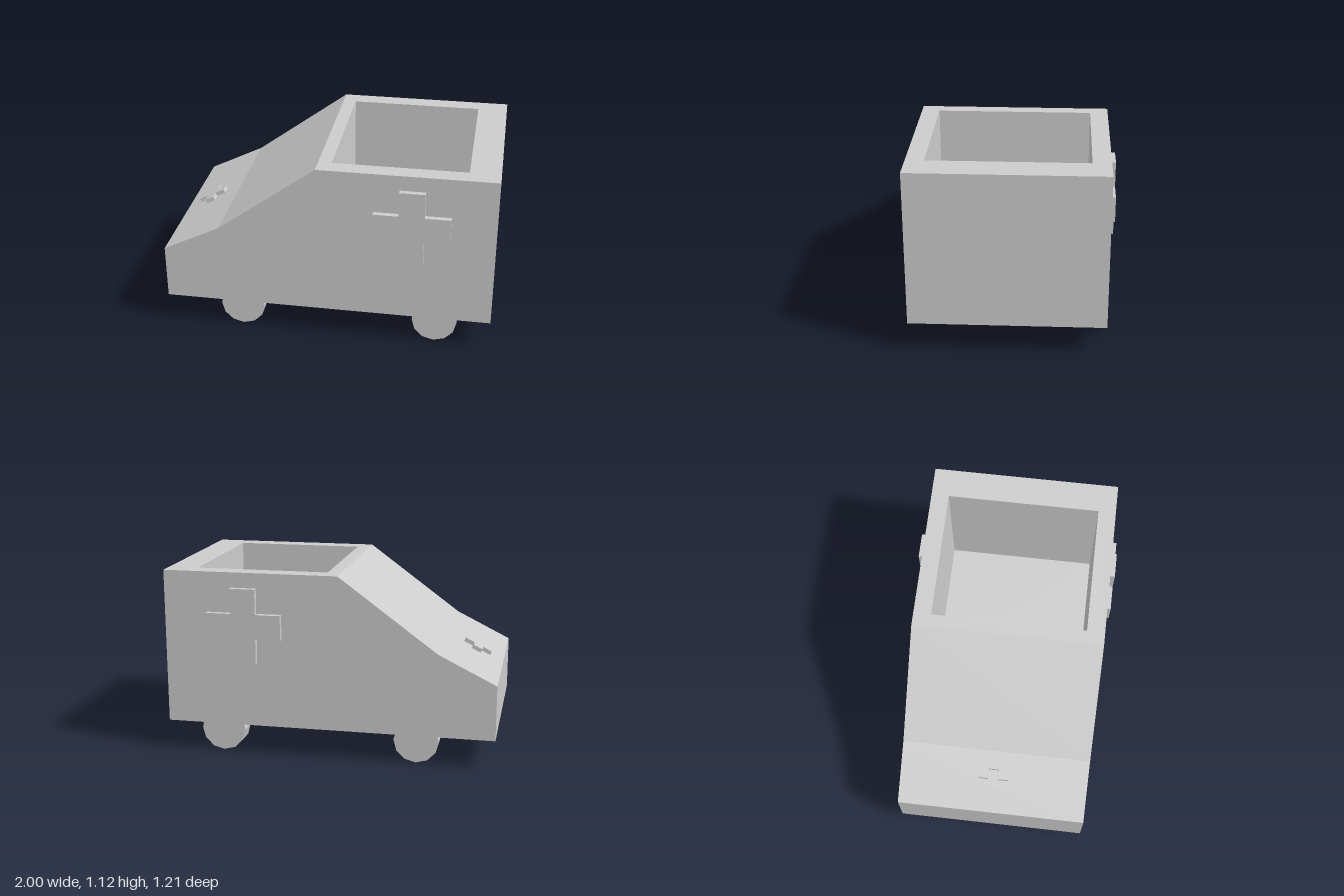
import * as THREE from 'three';
import { mergeGeometries } from 'three/addons/utils/BufferGeometryUtils.js';

const BOTTOM = 0.177, TOP = 1.118, HALF = 0.574;
const AXLES = [-0.53, 0.66], WHEEL_Z = 0.487;

// Rectangle as a list of corners, used as a path or hole
function rect(x0, x1, y0, y1) {
  return [[x0, y0], [x1, y0], [x1, y1], [x0, y1]].map(([x, y]) => new THREE.Vector2(x, y));
}

// Flat rectangular panel with rectangular holes, in the XY plane
function panel(x0, x1, holes) {
  const shape = new THREE.Shape(rect(x0, x1, -HALF, HALF));
  holes.forEach(h => shape.holes.push(new THREE.Path(rect(...h))));
  return new THREE.ShapeGeometry(shape);
}

// Inward-facing box lacking one face (2 = top, 3 = bottom)
function recess([x0, x1, z0, z1], y0, y1, openFace) {
  const g = new THREE.BoxGeometry(x1 - x0, y1 - y0, z1 - z0);
  const old = Array.from(g.index.array);
  old.splice(openFace * 6, 6);
  g.setIndex(old.reverse());
  const n = g.attributes.normal;
  for (let i = 0; i < n.count; i++) n.setXYZ(i, -n.getX(i), -n.getY(i), -n.getZ(i));
  g.clearGroups();
  return g.translate((x0 + x1) / 2, (y0 + y1) / 2, (z0 + z1) / 2);
}

// Full-width strip following one edge of the side profile
function strip([ax, ay], [bx, by]) {
  return new THREE.PlaneGeometry(Math.hypot(bx - ax, by - ay), HALF * 2)
    .rotateX(-Math.PI / 2)
    .rotateZ(Math.atan2(by - ay, bx - ax))
    .translate((ax + bx) / 2, (ay + by) / 2, 0);
}

// Raised plus sign, lying in the XY plane and rising along +z
function cross(size, depth) {
  const a = size / 2, b = size / 6;
  const pts = [[b, a], [b, b], [a, b], [a, -b], [b, -b], [b, -a],
    [-b, -a], [-b, -b], [-a, -b], [-a, b], [-b, b], [-b, a]];
  const shape = new THREE.Shape(pts.map(p => new THREE.Vector2(...p)));
  return new THREE.ExtrudeGeometry(shape, { depth, bevelEnabled: false });
}

export function createModel() {
  const model = new THREE.Group();
  const material = new THREE.MeshStandardMaterial({ color: 0xcccccc, flatShading: true });
  const add = (name, geometry) => {
    const mesh = new THREE.Mesh(geometry, material);
    mesh.name = name;
    model.add(mesh);
    return mesh;
  };

  // Body shell: side walls, strips over nose, hood and windshield, roof, underside
  const profile = [[-1, BOTTOM], [-1, 0.51], [-0.655, 0.681], [-0.06, TOP], [1, TOP], [1, BOTTOM]];
  const side = new THREE.Shape(profile.map(p => new THREE.Vector2(...p)));
  const cargo = [0.02, 0.818, -0.466, 0.466];
  const wells = AXLES.flatMap(x => [
    [x - 0.165, x + 0.165, 0.415, 0.56],
    [x - 0.165, x + 0.165, -0.56, -0.415],
  ]);
  const parts = [
    new THREE.ShapeGeometry(side).translate(0, 0, HALF),
    new THREE.ShapeGeometry(side).scale(-1, 1, 1).rotateY(Math.PI).translate(0, 0, -HALF),
    panel(-0.06, 1, [cargo]).rotateX(-Math.PI / 2).translate(0, TOP, 0),
    panel(-1, 1, wells).rotateX(Math.PI / 2).translate(0, BOTTOM, 0),
    recess(cargo, 0.35, TOP, 2),
    ...wells.map(w => recess(w, BOTTOM, 0.31, 3)),
    ...[0, 1, 2, 4].map(i => strip(profile[i], profile[i + 1])),
  ];
  // The mirrored wall needs its winding turned back outward
  const far = parts[1];
  far.setIndex(Array.from(far.index.array).reverse());
  far.computeVertexNormals();
  add('body', mergeGeometries(parts));

  // Wheels
  for (const x of AXLES) {
    for (const s of [1, -1]) {
      const g = new THREE.CylinderGeometry(0.136, 0.136, 0.116, 12).rotateX(Math.PI / 2);
      add((x < 0 ? 'front' : 'rear') + 'Wheel', g).position.set(x, 0.136, s * WHEEL_Z);
    }
  }

  // Crosses on both sides
  for (const s of [1, -1]) {
    const badge = add('sideCross', cross(0.456, 0.034));
    badge.position.set(0.507, 0.798, s * 0.573);
    if (s < 0) badge.rotation.y = Math.PI;
  }

  // Small cross lying on the sloping hood
  const slope = Math.atan2(0.171, 0.345);
  const hood = cross(0.18, 0.025).rotateX(-Math.PI / 2).rotateZ(slope);
  add('hoodCross', hood).position.set(-0.836, 0.591, -0.003);

  return model;
}
